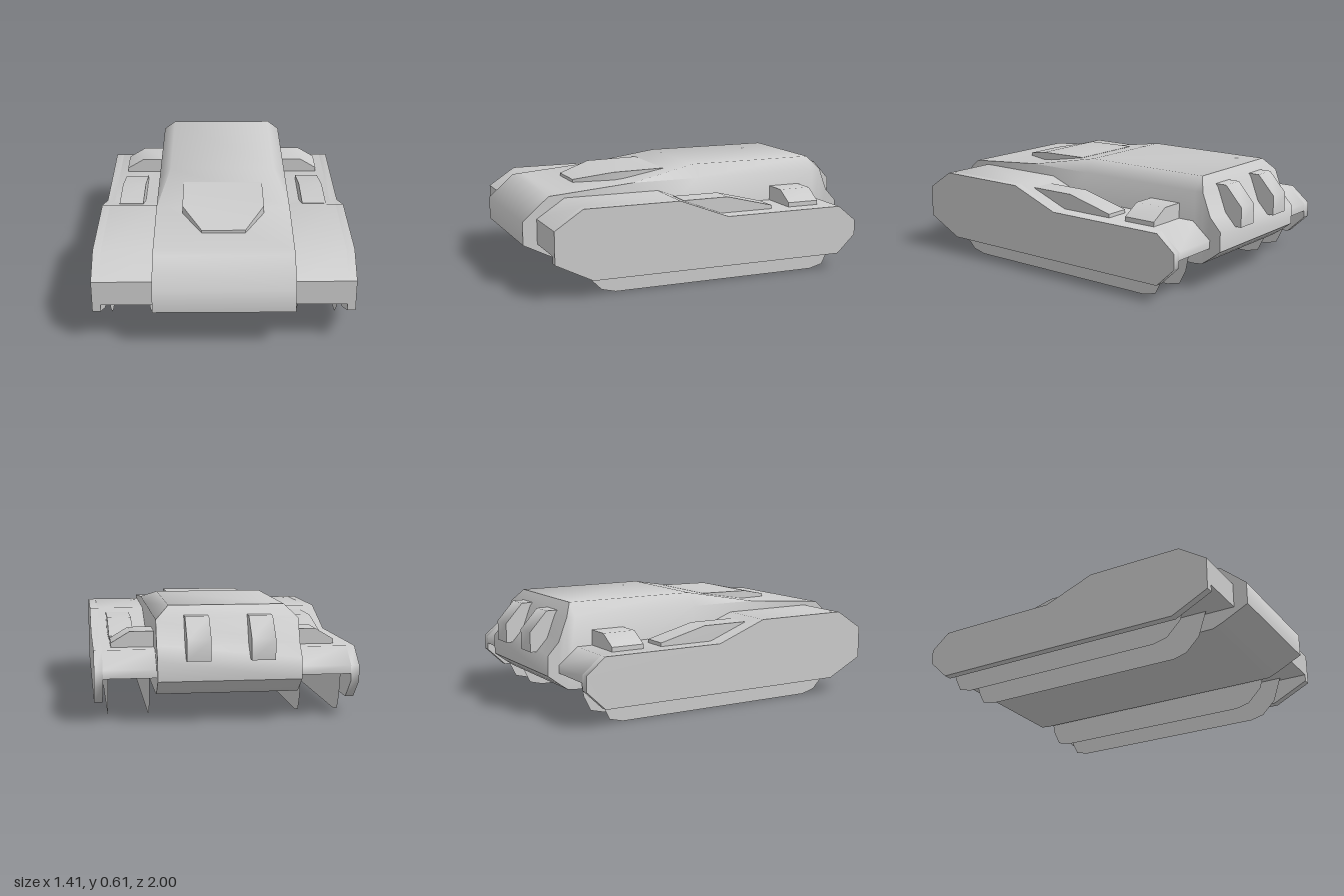
import * as THREE from 'three';
import { toCreasedNormals } from 'three/addons/utils/BufferGeometryUtils.js';

const grey = new THREE.MeshStandardMaterial({ color: 0xcccccc });
const thin = new THREE.MeshStandardMaterial({ color: 0xcccccc, side: THREE.DoubleSide });
const CREASE = 0.9;

function add(group, name, geometry, material = grey) {
  const mesh = new THREE.Mesh(geometry, material);
  mesh.name = name;
  group.add(mesh);
  return mesh;
}

const shapeOf = (pts) => new THREE.Shape(pts.map(([a, b]) => new THREE.Vector2(a, b)));

// Side profile of [z, y] points, extruded across x from x0 to x1
function sideExtrude(profile, x0, x1) {
  const g = new THREE.ExtrudeGeometry(shapeOf(profile), { depth: x1 - x0, bevelEnabled: false });
  g.rotateY(-Math.PI / 2).translate(x1, 0, 0);
  return toCreasedNormals(g, CREASE);
}

// Skin over rings of [x, y, z], listed front to back, each counterclockwise seen from the front
function loft(rings) {
  const n = rings[0].length, index = [];
  for (let i = 0; i < rings.length - 1; i++) {
    for (let j = 0; j < n; j++) {
      const a = i * n + j, b = i * n + (j + 1) % n, c = b + n, d = a + n;
      index.push(a, d, c, a, c, b);
    }
  }
  const last = (rings.length - 1) * n;
  for (let j = 1; j < n - 1; j++) index.push(0, j, j + 1, last, last + j + 1, last + j);
  const g = new THREE.BufferGeometry();
  g.setAttribute('position', new THREE.Float32BufferAttribute(rings.flat(2), 3));
  g.setIndex(index);
  return toCreasedNormals(g.toNonIndexed(), CREASE);
}

export function createModel() {
  const model = new THREE.Group();

  // Hull: [z, bottom, top], the roof chamfered wherever it rises above the shoulder
  const shoulder = 0.54, w = 0.38;
  const hull = [
    [1, 0.24, 0.37], [0.85, 0.165, 0.5], [0.79, 0.14, 0.505], [0.36, 0.14, 0.54],
    [-0.04, 0.14, 0.61], [-0.8, 0.14, 0.61], [-0.85, 0.145, 0.54],
    [-0.9, 0.18, 0.41], [-0.965, 0.23, 0.34],
  ].map(([z, b, t]) => {
    const s = Math.min(t, shoulder), r = w - (t - s);
    return [[-w, b, z], [w, b, z], [w, s, z], [r, t, z], [-r, t, z], [-w, s, z]];
  });
  add(model, 'hull', loft(hull));

  // Raised hatch on the front deck: [z, half width, top]
  const hatch = [[0.63, 0.12, 0.535], [0.42, 0.23, 0.58], [0.11, 0.23, 0.585]]
    .map(([z, r, t]) => [[-r, 0.49, z], [r, 0.49, z], [r, t, z], [-r, t, z]]);
  add(model, 'frontHatch', loft(hatch));

  // Upper outline shared by the fender and its skirt
  const upper = [
    [0.92, 0.38], [0.76, 0.485], [0.21, 0.485], [-0.08, 0.375], [-0.79, 0.375], [-0.9, 0.285],
  ];
  const fender = [[0.92, 0.24], ...upper, [-0.9, 0.24]];
  const skirt = [[0.92, 0.2], ...upper, [-0.9, 0.2], [-0.79, 0.095], [0.71, 0.095]];
  const blister = [[0.15, 0.465], [-0.12, 0.465], [-0.4, 0.395], [-0.4, 0.36], [0.15, 0.36]];
  const exhaust = [
    [-0.82, 0.56], [-0.9, 0.56], [-1, 0.45], [-1, 0.34], [-0.88, 0.34], [-0.82, 0.4],
  ];
  const track = [
    [0.77, 0.25], [0.72, 0.1], [0.64, 0.02], [0.56, 0],
    [-0.65, 0], [-0.73, 0.02], [-0.77, 0.1], [-0.8, 0.25],
  ];

  for (const s of [1, -1]) {
    const side = new THREE.Group();
    side.name = s > 0 ? 'leftSide' : 'rightSide';
    model.add(side);
    const part = (name, profile, x0, x1) =>
      add(side, name, s > 0 ? sideExtrude(profile, x0, x1) : sideExtrude(profile, -x1, -x0));

    part('fender', fender, 0.36, 0.66);
    part('skirt', skirt, 0.66, 0.705);
    part('fenderBlister', blister, 0.47, 0.61);
    part('exhaust', exhaust, 0.105, 0.232);

    // Intake box on the rear fender, sloping down to the outside
    const intake = [[0.36, 0.36], [0.61, 0.36], [0.61, 0.4], [0.51, 0.46], [0.36, 0.46]]
      .map(([x, y]) => [s * x, y]);
    const g = new THREE.ExtrudeGeometry(shapeOf(intake), { depth: 0.19, bevelEnabled: false });
    add(side, 'intakeBox', toCreasedNormals(g.translate(0, 0, -0.7), CREASE));

    // Thin track panels under the fender
    for (const x of [0.41, 0.63]) {
      const panel = new THREE.ShapeGeometry(shapeOf(track)).rotateY(-Math.PI / 2);
      add(side, 'trackPanel', panel, thin).position.x = s * x;
    }
  }
  return model;
}
